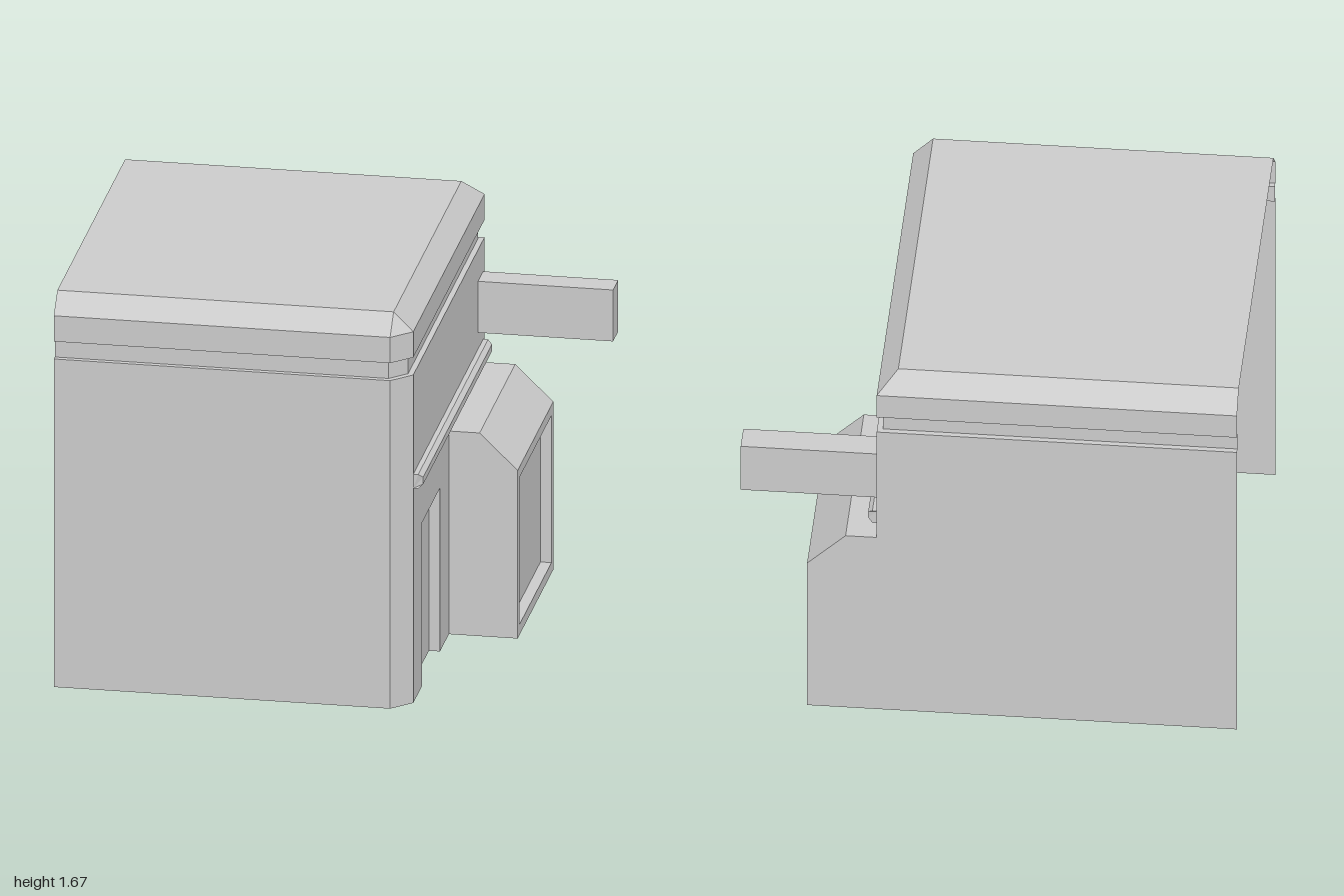
import * as THREE from 'three';

const material = new THREE.MeshStandardMaterial({ color: 0xcccccc, flatShading: true, side: THREE.DoubleSide });

// Flat-shaded mesh from a list of corner points, three per triangle
function facets(name, corners) {
  const geometry = new THREE.BufferGeometry();
  geometry.setAttribute('position', new THREE.Float32BufferAttribute(corners.flat(), 3));
  geometry.computeVertexNormals();
  const mesh = new THREE.Mesh(geometry, material);
  mesh.name = name;
  return mesh;
}

// Skin between successive sections, each a list of [x, y, z]
function loft(name, sections, closed = false) {
  const corners = [];
  for (let j = 0; j + 1 < sections.length; j++) {
    const p = sections[j], q = sections[j + 1], n = p.length;
    for (let i = 0; i < (closed ? n : n - 1); i++) {
      const k = (i + 1) % n;
      corners.push(p[i], p[k], q[k], p[i], q[k], q[i]);
    }
  }
  return facets(name, corners);
}

// Convex flat polygon
function panel(name, points) {
  const corners = [];
  for (let i = 1; i + 1 < points.length; i++) corners.push(points[0], points[i], points[i + 1]);
  return facets(name, corners);
}

// Flat sheet facing +x, outlined in [z, y], with optional holes
function sideSheet(name, x, outline, holes = []) {
  const points = list => list.map(([z, y]) => new THREE.Vector2(-z, y));
  const shape = new THREE.Shape(points(outline));
  shape.holes = holes.map(h => new THREE.Path(points(h)));
  const mesh = new THREE.Mesh(new THREE.ShapeGeometry(shape).rotateY(Math.PI / 2).translate(x, 0, 0), material);
  mesh.name = name;
  return mesh;
}

// Rectangle in [z, y], from its front/bottom corner to its back/top corner
const rect = (z0, y0, z1, y1) => [[z0, y0], [z1, y0], [z1, y1], [z0, y1]];
const atX = (x, list) => list.map(([z, y]) => [x, y, z]);

const L = -1, R = 0.45, Z = 0.835, CUT = 0.08, EAVE = 1.405;

// Open plan of the walls: front, chamfered corner, right, back
function plan(y, inset = 0) {
  const x = R - inset, z = Z - inset, c = inset ? 0.068 : CUT;
  return [[L, y, z], [x - c, y, z], [x, y, z - c], [x, y, -z], [L, y, -z]];
}

function createWalls() {
  const group = new THREE.Group();
  group.name = 'walls';
  const low = plan(0), high = plan(EAVE);
  group.add(loft('frontWall', [low.slice(0, 3), high.slice(0, 3)]));
  group.add(loft('backWall', [low.slice(3), high.slice(3)]));
  // Right wall is cut away for the doorway and behind the bay
  group.add(sideSheet('rightWall', R, [
    [Z - CUT, 0], [0.565, 0], [0.565, 0.7], [0.16, 0.7], [0.16, 0],
    [-0.04, 0], [-0.04, 0.87], [-Z, 0.87], [-Z, EAVE], [Z - CUT, EAVE]]));
  return group;
}

function createRoof() {
  const group = new THREE.Group();
  group.name = 'roof';
  // Recessed groove, upper band and bevelled roof edge
  const x = R - CUT, z = Z - CUT, y = 1.67;
  const top = [[L, y, z], [x, y, z], [x, y, z], [x, y, -z], [L, y, -z]];
  group.add(loft('roofEdge', [plan(EAVE), plan(EAVE, 0.023), plan(1.48, 0.023), plan(1.48), plan(1.59), top]));
  group.add(panel('roofTop', [top[0], top[1], top[3], top[4]]));
  return group;
}

// Recessed panel with its reveal
function createRecess(name, x, opening, depth) {
  const group = new THREE.Group();
  group.name = name;
  const inner = atX(x - depth, opening);
  // A recess that starts at the ground has no sill
  const sill = opening[0][1] > 0;
  const order = sill ? opening : [1, 2, 3, 0].map(i => opening[i]);
  group.add(loft(name + 'Reveal', [atX(x, order), atX(x - depth, order)], sill));
  group.add(panel(name + 'Panel', inner));
  return group;
}

function createBay() {
  const group = new THREE.Group();
  group.name = 'bay';
  const x = 0.73, front = -0.04, shoulder = 0.72;
  const roof = [[R, 0.87], [0.575, 0.87], [x, shoulder]];
  const at = (list, z) => list.map(([px, py]) => [px, py, z]);
  group.add(loft('bayRoof', [at(roof, front), at(roof, -Z)]));
  const side = [[R, 0], [x, 0], ...roof.slice().reverse()];
  group.add(panel('bayFront', at(side, front)));
  group.add(panel('bayBack', at(side, -Z).reverse()));
  // Framed face with a sunken window
  const opening = rect(-0.08, 0.045, -0.795, 0.675);
  group.add(sideSheet('bayFace', x, rect(front, 0, -Z, shoulder), [opening]));
  group.add(createRecess('window', x, opening, 0.045));
  return group;
}

function createBeam() {
  const group = new THREE.Group();
  group.name = 'beam';
  const section = rect(-0.69, 1.05, -0.805, 1.27);
  group.add(loft('beamSides', [atX(R, section), atX(1, section)], true));
  group.add(panel('beamEnd', atX(1, section)));
  return group;
}

function createRail() {
  const group = new THREE.Group();
  group.name = 'rail';
  // Rounded ledge whose nose is slightly shorter than its root
  const profile = [[R, 0.92], [0.47, 0.92], [0.488, 0.935], [0.488, 0.965], [0.47, 0.98], [R, 0.98]];
  const end = (z, step) => profile.map(([x, y]) => [x, y, x > 0.48 ? z + step : z]);
  const back = end(-0.805, 0.014), front = end(0.755, -0.014);
  group.add(loft('railSides', [back, front]));
  group.add(panel('railFrontEnd', front));
  group.add(panel('railBackEnd', back.slice().reverse()));
  return group;
}

export function createModel() {
  const model = new THREE.Group();
  model.name = 'building';
  model.add(createWalls(), createRoof(), createBay(), createBeam(), createRail());
  model.add(createRecess('door', R, rect(0.565, 0, 0.16, 0.7), 0.045));
  return model;
}
